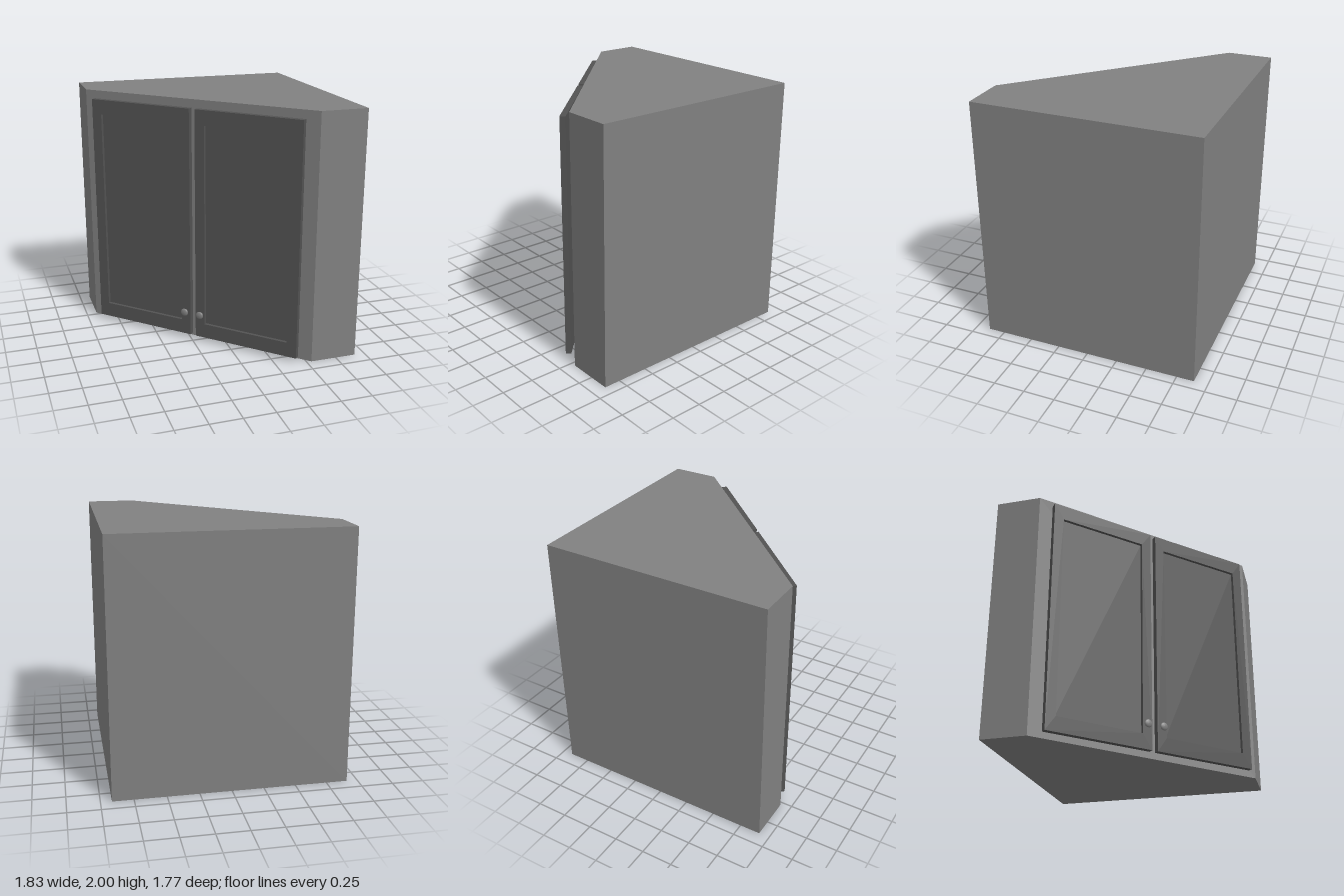
import * as THREE from 'three';

const mat = (name, color) => Object.assign(new THREE.MeshStandardMaterial({ color }), { name });

function part(name, geometry, material) {
  const mesh = new THREE.Mesh(geometry, material);
  mesh.name = name;
  return mesh;
}

const polygon = (points) => new THREE.Shape(points.map(([x, y]) => new THREE.Vector2(x, y)));
const rectangle = (w, h) => [[-w / 2, -h / 2], [w / 2, -h / 2], [w / 2, h / 2], [-w / 2, h / 2]];

export function createModel() {
  const model = new THREE.Group();
  model.name = 'cornerCabinet';
  const bodyGrey = mat('bodyGrey', 0x808080);
  const doorGrey = mat('doorGrey', 0x535353);
  const knobGrey = mat('knobGrey', 0x808080);

  // Five-sided body, drawn as a floor plan (y = -z) and raised
  const plan = polygon([[-0.915, 0.53], [0.54, -0.885], [0.915, -0.885], [0.915, 0.89], [-0.915, 0.89]]);
  const bodyGeometry = new THREE.ExtrudeGeometry(plan, { depth: 2, bevelEnabled: false });
  bodyGeometry.rotateX(-Math.PI / 2);
  model.add(part('body', bodyGeometry, bodyGrey));

  // Door frame with an opening, and a thinner panel set back inside it
  const W = 0.89, H = 1.9, T = 0.043, STILE = 0.083, RAIL = 0.12;
  const frameShape = polygon(rectangle(W, H));
  frameShape.holes.push(polygon(rectangle(W - 2 * STILE, H - 2 * RAIL).reverse()));
  const frameGeometry = new THREE.ExtrudeGeometry(frameShape, { depth: T, bevelEnabled: false });
  const panelGeometry = new THREE.BoxGeometry(W - 2 * STILE, H - 2 * RAIL, 0.018).translate(0, 0, 0.009);

  // Turned knob: base flange, neck and domed head
  const profile = [[0, 0], [0.022, 0], [0.022, 0.005], [0.011, 0.008], [0.011, 0.015],
    [0.032, 0.018], [0.031, 0.023], [0.024, 0.028], [0.013, 0.031], [0, 0.032]];
  const knobGeometry = new THREE.LatheGeometry(profile.map(([r, y]) => new THREE.Vector2(r, y)), 20);
  knobGeometry.rotateX(Math.PI / 2);

  // Pair of doors standing just off the diagonal face
  const doors = new THREE.Group();
  doors.name = 'doors';
  doors.position.set(-0.21, 0.99, 0.2025);
  doors.rotation.y = -Math.atan2(1.285, 1.3);
  for (const side of [-1, 1]) {
    const door = new THREE.Group();
    door.name = side < 0 ? 'rightDoor' : 'leftDoor';
    door.position.x = side * 0.469;
    const knob = part('knob', knobGeometry, knobGrey);
    knob.position.set(-side * (W / 2 - 0.046), -0.75, T);
    door.add(part('doorFrame', frameGeometry, doorGrey), part('doorPanel', panelGeometry, doorGrey), knob);
    doors.add(door);
  }
  model.add(doors);
  return model;
}
